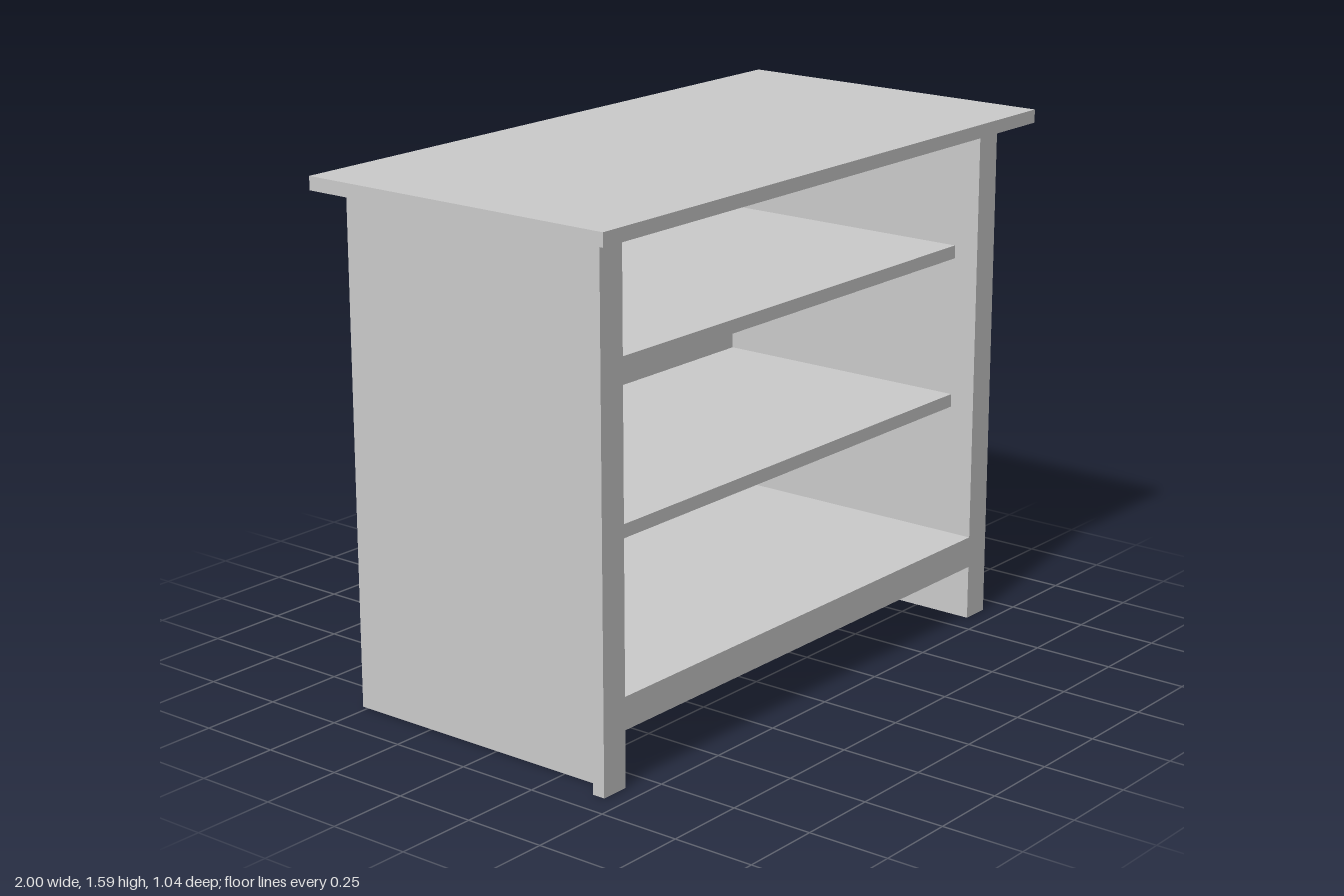
import * as THREE from 'three';

export function createModel() {
  const group = new THREE.Group();
  const material = new THREE.MeshStandardMaterial({ color: 0xcccccc, flatShading: true });

  // Board given by its extents along each axis
  const board = (name, [x0, x1], [y0, y1], [z0, z1]) => {
    const mesh = new THREE.Mesh(new THREE.BoxGeometry(x1 - x0, y1 - y0, z1 - z0), material);
    mesh.position.set((x0 + x1) / 2, (y0 + y1) / 2, (z0 + z1) / 2);
    mesh.name = name;
    group.add(mesh);
  };

  const inner = 0.83, panel = 0.862, outer = 0.92;
  const back = -0.52, backInner = -0.488, frameBack = 0.4, front = 0.44;
  const underTop = 1.55, bottom = 0.168, floorTop = 0.265;
  const span = [-inner, inner];

  // Overhanging top, flush at the back
  board('top', [-1, 1], [underTop, 1.59], [back, 0.52]);

  // Side panels and the wider front stiles that form the front legs
  for (const [side, s] of [['left', 1], ['right', -1]]) {
    const mirrored = (a, b) => (s > 0 ? [a, b] : [-b, -a]);
    board(side + 'SidePanel', mirrored(inner, panel), [0, underTop], [back, frameBack]);
    board(side + 'FrontStile', mirrored(inner, outer), [0, underTop], [frameBack, front]);
  }

  // Back panel, cabinet floor and front rail
  board('backPanel', span, [bottom, underTop], [back, backInner]);
  board('cabinetFloor', span, [bottom, floorTop], [backInner, frameBack]);
  board('frontRail', span, [bottom, floorTop], [frameBack, front]);

  // Shelves, set back from the front frame
  [['lowerShelf', 0.672], ['upperShelf', 1.14]].forEach(([name, y]) =>
    board(name, span, [y, y + 0.04], [backInner, 0.36]));

  return group;
}
